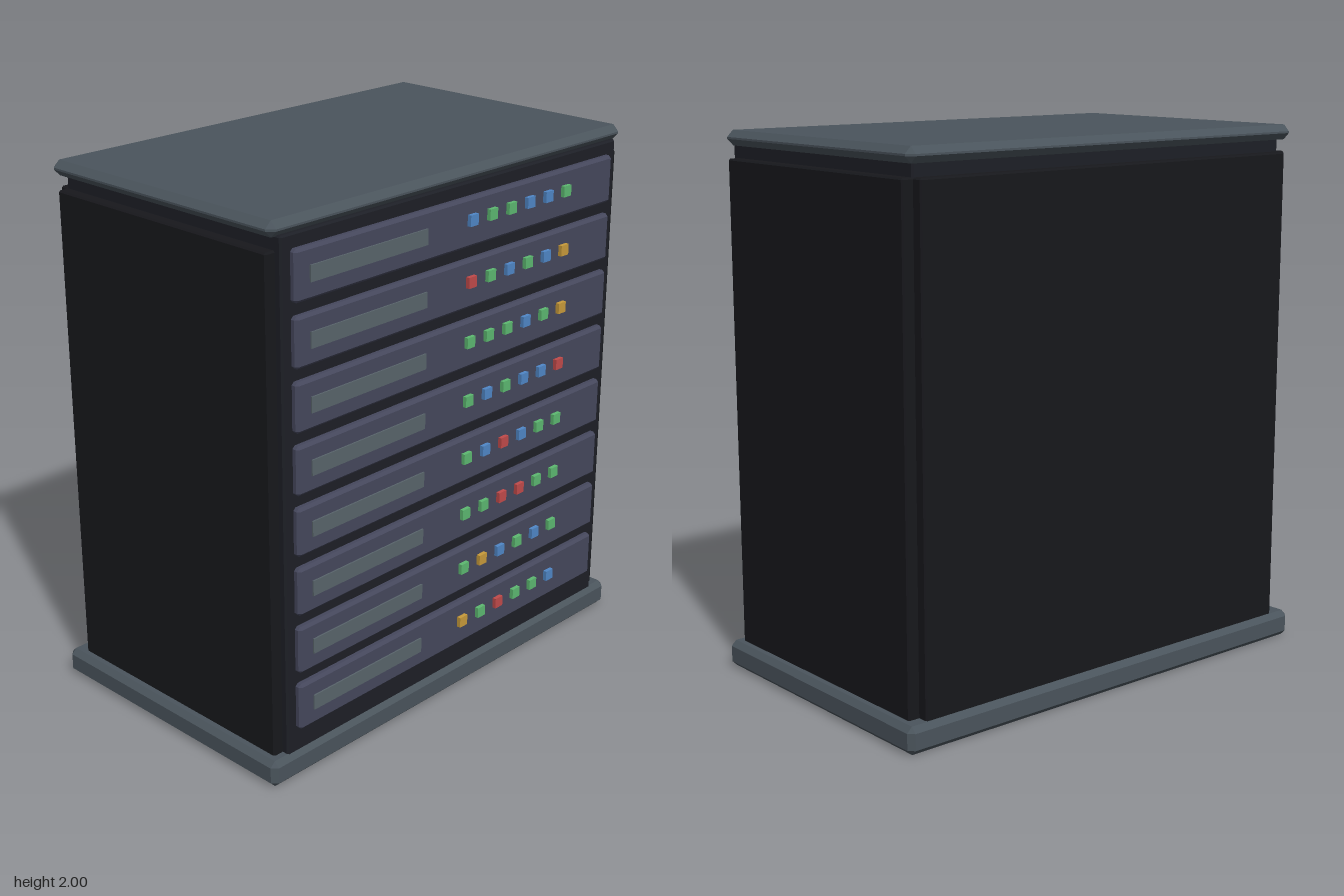
import * as THREE from 'three';
import { ConvexGeometry } from 'three/addons/geometries/ConvexGeometry.js';

const material = (color) => new THREE.MeshStandardMaterial({ color });

// Box with every edge cut by c, as the hull of its 24 corner points
function chamferBox(w, h, d, c) {
  const points = [];
  for (const sx of [-1, 1]) for (const sy of [-1, 1]) for (const sz of [-1, 1]) {
    const x = w / 2, y = h / 2, z = d / 2;
    points.push(
      new THREE.Vector3(sx * x, sy * (y - c), sz * (z - c)),
      new THREE.Vector3(sx * (x - c), sy * y, sz * (z - c)),
      new THREE.Vector3(sx * (x - c), sy * (y - c), sz * z));
  }
  return new ConvexGeometry(points);
}

export function createModel() {
  const model = new THREE.Group();
  model.name = 'serverCabinet';

  const frame = material(0x1d1f26);
  const panel = material(0x17181c);
  const trim = material(0x4a545c);
  const unitFace = material(0x45475c);
  const vent = material(0x58646a);
  const lights = {
    R: material(0xc04a4a), G: material(0x5cb870),
    B: material(0x4f86c6), Y: material(0xc79a3a),
  };

  function add(parent, name, geometry, mat, x, y, z) {
    const mesh = new THREE.Mesh(geometry, mat);
    mesh.name = name;
    mesh.position.set(x, y, z);
    parent.add(mesh);
    return mesh;
  }

  // Plinth, cabinet core and lid
  add(model, 'base', chamferBox(1.866, 0.1, 1.135, 0.02), trim, 0, 0.05, -0.01);
  add(model, 'cabinetBody', chamferBox(1.706, 1.87, 1.055, 0.006), frame, 0, 1.015, 0.0125);
  add(model, 'lid', chamferBox(1.785, 0.055, 1.095, 0.024), trim, 0, 1.9725, -0.0075);

  // Outer side and back panels, ending below the lid
  const sideGeometry = chamferBox(0.05, 1.82, 1.03, 0.006);
  for (const side of [-1, 1]) {
    add(model, side > 0 ? 'leftPanel' : 'rightPanel', sideGeometry, panel, side * 0.868, 0.99, 0);
  }
  add(model, 'backPanel', chamferBox(1.7, 1.82, 0.05, 0.006), panel, 0, 0.99, -0.53);

  // Stacked server units, top to bottom, each with its row of lights
  const rows = ['BGGBBG', 'RGBGBY', 'GGGBGY', 'GBGBBR', 'GBRBGG', 'GGRRGG', 'GYBGBG', 'YGRGGB'];
  const unitGeometry = chamferBox(1.62, 0.176, 0.034, 0.01);
  const ventGeometry = new THREE.BoxGeometry(0.545, 0.056, 0.02);
  const lightGeometry = new THREE.BoxGeometry(0.04, 0.04, 0.025);
  rows.forEach((row, i) => {
    const unit = new THREE.Group();
    unit.name = `serverUnit${i + 1}`;
    unit.position.set(0, 1.815 - i * 0.22, 0);
    model.add(unit);
    add(unit, 'faceplate', unitGeometry, unitFace, -0.003, 0, 0.548);
    add(unit, 'vent', ventGeometry, vent, -0.48, 0, 0.561);
    [...row].forEach((key, j) => {
      add(unit, 'statusLight', lightGeometry, lights[key], 0.017 + j * 0.102, 0.011, 0.5675);
    });
  });

  return model;
}
